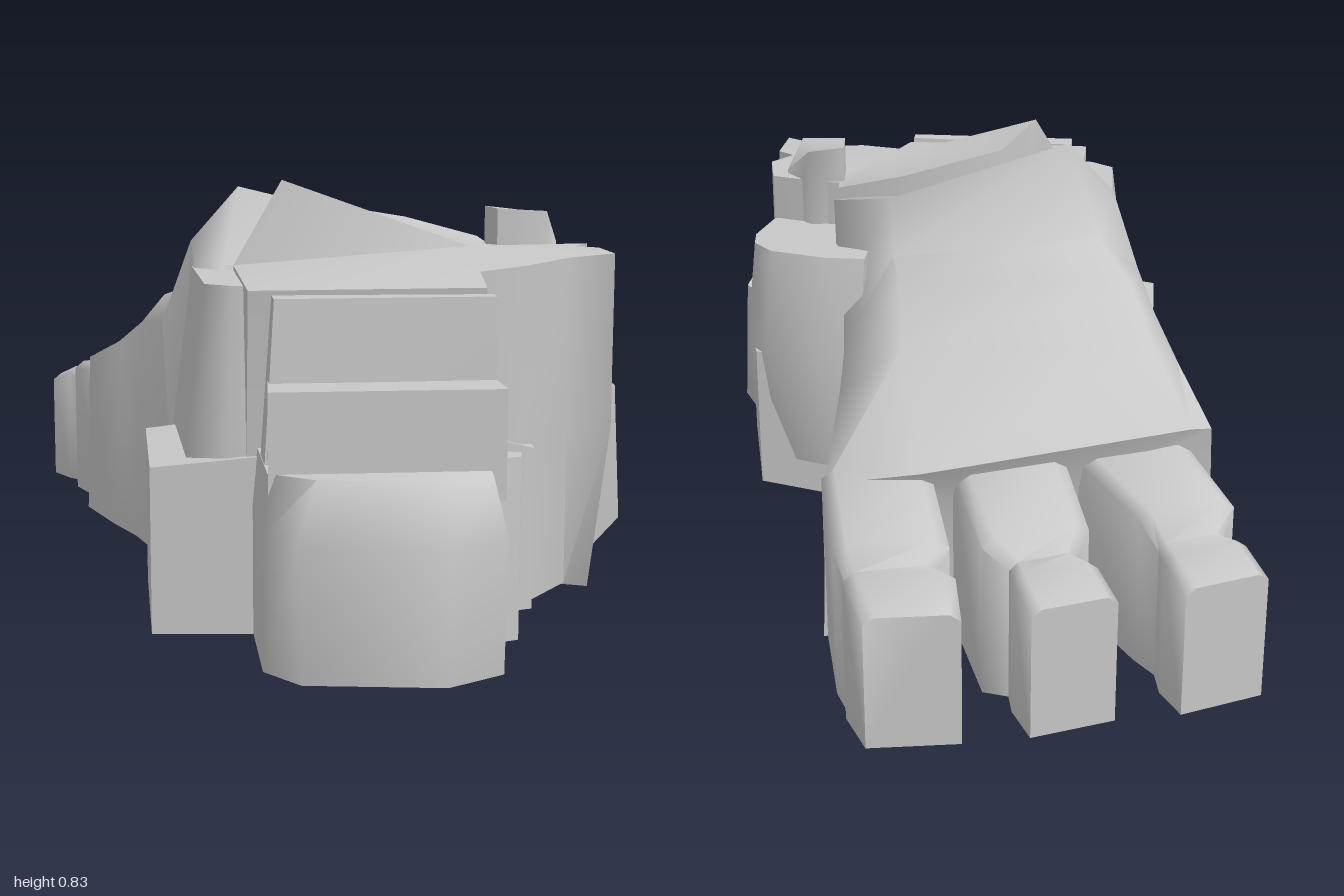
import * as THREE from 'three';
import { toCreasedNormals } from 'three/addons/utils/BufferGeometryUtils.js';

const stone = new THREE.MeshStandardMaterial({ color: 0xc8c8c8 });
stone.name = 'pale grey';

// Skin a list of equal-length rings of [x, y, z], with fan caps at both ends
function loft(name, rings, crease = 1.15) {
  const tris = [];
  const n = rings[0].length;
  for (let r = 0; r + 1 < rings.length; r++) {
    const a = rings[r], b = rings[r + 1];
    for (let i = 0; i < n; i++) {
      const j = (i + 1) % n;
      tris.push([a[i], a[j], b[j]], [a[i], b[j], b[i]]);
    }
  }
  const cap = (ring, flip) => {
    const c = [0, 1, 2].map(k => ring.reduce((s, p) => s + p[k], 0) / n);
    for (let i = 0; i < n; i++) {
      const j = (i + 1) % n;
      tris.push(flip ? [c, ring[j], ring[i]] : [c, ring[i], ring[j]]);
    }
  };
  cap(rings[0], true);
  cap(rings[rings.length - 1], false);

  // Turn the skin outward when its signed volume is negative
  let volume = 0;
  for (const [a, b, c] of tris) {
    volume += a[0] * (b[1] * c[2] - b[2] * c[1])
      + a[1] * (b[2] * c[0] - b[0] * c[2])
      + a[2] * (b[0] * c[1] - b[1] * c[0]);
  }
  if (volume < 0) tris.forEach(t => t.reverse());

  const geometry = new THREE.BufferGeometry();
  geometry.setAttribute('position', new THREE.Float32BufferAttribute(tris.flat(2), 3));
  const mesh = new THREE.Mesh(toCreasedNormals(geometry, crease), stone);
  mesh.name = name;
  return mesh;
}

// Horizontal ring from [x, z] or [x, z, own height]
const ring = (y, pts) => pts.map(([x, z, h]) => [x, h ?? y, z]);
const prism = (name, y0, y1, pts) => loft(name, [ring(y0, pts.map(p => p.slice(0, 2))), ring(y1, pts)]);

// Toe from stations [leftX, leftZ, rightX, rightZ, height]
function toe(name, stations) {
  return loft(name, stations.map(([lx, lz, rx, rz, h]) => {
    const at = (t, y) => [lx + (rx - lx) * t, y, lz + (rz - lz) * t];
    return [at(0, 0.01), at(0, h * 0.95), at(0.12, h), at(0.88, h), at(1, h * 0.95), at(1, 0.01)];
  }));
}

export function createModel() {
  const model = new THREE.Group();
  model.name = 'brokenStoneFoot';

  // Ankle block with its uneven broken top
  const ankleTop = [
    [-0.2, 0.68, 0.655], [0.24, 0.68, 0.655], [0.24, 0.56, 0.67], [0.34, 0.55, 0.68],
    [0.44, 0.5, 0.69], [0.52, 0.53, 0.7], [0.52, 0.41, 0.7], [0.48, 0.38, 0.7],
    [0.52, 0.32, 0.7], [0.5, 0.24, 0.69], [0.4, 0.21, 0.69], [0.34, 0.2, 0.69],
    [0.33, 0.13, 0.7], [0.18, 0.1, 0.74], [-0.03, 0.19, 0.78], [-0.1, 0.27, 0.83],
    [-0.2, 0.29, 0.66],
  ];
  const low = ankleTop.map(([x, z]) => [Math.min(x, 0.48), Math.min(z, 0.6), x > 0.4 ? 0.04 : 0.01]);
  const mid = ankleTop.map(([x, z]) => [x, Math.min(z, 0.63), 0.36]);
  model.add(loft('ankleBlock', [ring(0, low), ring(0, mid), ring(0, ankleTop)], 0.9));

  // Rounded heel with stepped slabs above it
  const heel = [[-0.19, 0.6], [-0.19, 0.86], [-0.13, 0.94], [0.12, 0.98], [0.23, 0.92], [0.24, 0.6]];
  const heelBulge = [[-0.19, 0.6], [-0.19, 0.87], [-0.14, 0.96], [0.12, 1.0], [0.23, 0.94], [0.24, 0.6]];
  const heelTop = [[-0.18, 0.6], [-0.18, 0.85], [-0.1, 0.91], [0.12, 0.95], [0.21, 0.9], [0.24, 0.6]];
  model.add(loft('heel', [ring(0, heel), ring(0.25, heelBulge), ring(0.355, heelTop)], 1.2));
  model.add(prism('heelStep', 0.3, 0.5, [
    [-0.17, 0.74], [-0.18, 0.86], [0.24, 0.87], [0.24, 0.74],
  ]));
  model.add(loft('heelSlab', [
    ring(0.34, [[-0.18, 0.69], [-0.18, 0.78], [0.24, 0.78], [0.24, 0.7]]),
    ring(0.65, [[-0.16, 0.71], [-0.16, 0.765], [0.24, 0.77], [0.24, 0.735]]),
  ]));
  model.add(prism('heelSliver', 0.01, 0.355, [
    [0.2, 0.69], [0.2, 0.79], [0.29, 0.76], [0.3, 0.72],
  ]));

  // Right flank: low lump and taller narrow shoulder
  model.add(prism('rightLowLump', 0, 0.33, [
    [-0.38, 0.24, 0.32], [-0.38, 0.62, 0.32], [-0.18, 0.64, 0.34], [-0.18, 0.23, 0.34],
  ]));
  model.add(loft('rightShoulder', [
    ring(0.1, [[-0.32, 0.2], [-0.31, 0.57], [-0.24, 0.62], [-0.15, 0.62], [-0.15, 0.2]]),
    ring(0.34, [[-0.32, 0.2], [-0.31, 0.57], [-0.24, 0.62], [-0.15, 0.62], [-0.15, 0.2]]),
    ring(0.65, [[-0.28, 0.2], [-0.27, 0.52], [-0.22, 0.56], [-0.15, 0.58], [-0.15, 0.2]]),
  ]));

  // Left flank: low front lump, spreading lobe and upper knob
  model.add(prism('leftLowLump', 0.01, 0.34, [
    [0.2, 0.6, 0.36], [0.29, 0.59, 0.35], [0.36, 0.57, 0.33], [0.36, 0.4], [0.2, 0.4],
  ]));
  const lobe = [[0.28, -0.03], [0.5, -0.02], [0.53, 0.08], [0.53, 0.22], [0.58, 0.27], [0.58, 0.34], [0.5, 0.36], [0.28, 0.32]];
  model.add(loft('leftLobe', [
    ring(0.04, lobe.map(([x, z]) => [Math.min(x, 0.51), z, x < 0.3 ? 0.01 : 0.04])),
    ring(0.13, lobe.map(([x, z]) => [x > 0.55 ? 0.595 : x, z])),
    ring(0.37, lobe.map(([x, z]) => [x, z, x > 0.55 ? 0.41 : 0.36])),
  ]));
  const knob = [[0.26, -0.07], [0.35, -0.07], [0.48, -0.03], [0.53, 0.03], [0.54, 0.1], [0.52, 0.24], [0.26, 0.26]];
  model.add(loft('leftUpperLobe', [
    ring(0.1, knob.map(([x, z]) => [x * 0.96, z + 0.02])),
    ring(0.36, knob),
    ring(0.59, knob.map(([x, z]) => [x * 0.96, z * 0.85 + 0.03])),
  ], 1.2));
  model.add(prism('leftKnob', 0.5, 0.76, [
    [0.33, 0.21, 0.77], [0.34, 0.29, 0.77], [0.44, 0.3, 0.765], [0.47, 0.26, 0.7], [0.41, 0.2, 0.76],
  ]));

  // Foot from the jagged rim to the toes; station is right base, right top, ridge pair, left side, left base
  model.add(loft('foot', [
    [[-0.29, 0.01, 0.35], [-0.27, 0.6, 0.3], [-0.22, 0.66, 0.28], [0.2, 0.66, 0.25], [0.33, 0.6, 0.22], [0.3, 0.01, 0.3]],
    [[-0.32, 0.01, 0.2], [-0.28, 0.7, 0.17], [-0.18, 0.81, 0.15], [0.2, 0.71, 0.03], [0.33, 0.69, 0.07], [0.31, 0.01, 0.1]],
    [[-0.34, 0.01, 0.13], [-0.34, 0.53, 0.14], [-0.25, 0.61, 0.1], [0.19, 0.59, -0.01], [0.31, 0.5, 0.03], [0.31, 0.01, 0.03]],
    [[-0.4, 0.01, -0.08], [-0.38, 0.5, -0.06], [-0.33, 0.56, -0.06], [0.16, 0.575, -0.13], [0.28, 0.44, -0.12], [0.3, 0.01, -0.12]],
    [[-0.45, 0.01, -0.2], [-0.43, 0.44, -0.18], [-0.38, 0.47, -0.18], [0.14, 0.475, -0.25], [0.27, 0.38, -0.26], [0.29, 0.01, -0.26]],
    [[-0.51, 0.01, -0.37], [-0.5, 0.375, -0.37], [-0.46, 0.385, -0.4], [0.05, 0.375, -0.63], [0.24, 0.34, -0.62], [0.25, 0.01, -0.63]],
  ], 1.25));

  // Three toes, each pinched at the joint
  model.add(toe('rightToe', [
    [-0.45, -0.36, -0.24, -0.47, 0.35], [-0.54, -0.59, -0.36, -0.66, 0.33],
    [-0.52, -0.65, -0.4, -0.71, 0.29], [-0.56, -0.69, -0.41, -0.77, 0.3], [-0.6, -0.76, -0.45, -0.84, 0.27],
  ]));
  model.add(toe('middleToe', [
    [-0.21, -0.47, 0.0, -0.56, 0.36], [-0.27, -0.71, -0.08, -0.8, 0.33],
    [-0.25, -0.75, -0.13, -0.81, 0.29], [-0.29, -0.8, -0.14, -0.86, 0.3], [-0.33, -0.87, -0.18, -0.94, 0.27],
  ]));
  model.add(toe('leftToe', [
    [0.04, -0.57, 0.25, -0.6, 0.36], [-0.02, -0.8, 0.19, -0.83, 0.33],
    [0.0, -0.84, 0.16, -0.89, 0.3], [-0.04, -0.88, 0.16, -0.91, 0.31], [-0.06, -0.97, 0.11, -1.0, 0.275],
  ]));

  return model;
}
